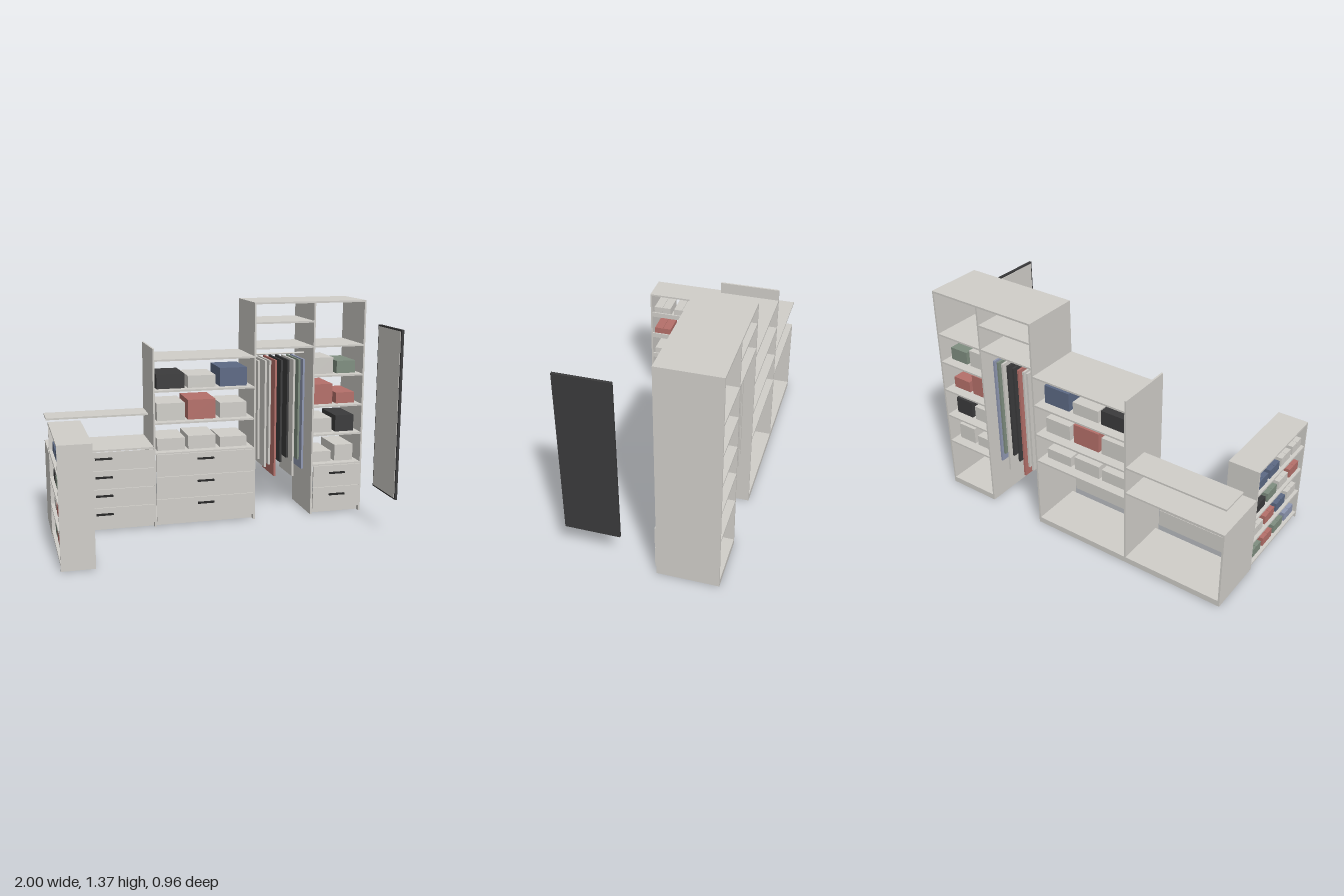
import * as THREE from 'three';

const mat = (name, color) => {
  const m = new THREE.MeshStandardMaterial({ color });
  m.name = name;
  return m;
};

export function createModel() {
  const root = new THREE.Group();
  root.name = 'walkInCloset';
  const C = {
    panel: mat('pale laminate', 0xd0cec9),
    dark: mat('charcoal', 0x3b3b3c),
    handle: mat('black metal', 0x262626),
    red: mat('brick red', 0xb5706a),
    blue: mat('slate blue', 0x5c6984),
    sky: mat('light blue', 0x9098b2),
    green: mat('sage green', 0x7f8e80),
  };

  // Box from its min/max extents on each axis
  const box = (parent, name, material, x0, x1, y0, y1, z0, z1) => {
    const m = new THREE.Mesh(new THREE.BoxGeometry(x1 - x0, y1 - y0, z1 - z0), material);
    m.position.set((x0 + x1) / 2, (y0 + y1) / 2, (z0 + z1) / 2);
    m.name = name;
    parent.add(m);
    return m;
  };
  const group = (name) => {
    const g = new THREE.Group();
    g.name = name;
    root.add(g);
    return g;
  };

  const T = 0.011, BACK = -0.48, FRONT = -0.124, TOE = 0.037;
  const upright = (g, x, h, name = 'sidePanel') => box(g, name, C.panel, x, x + T, 0, h, BACK, FRONT);
  const shelf = (g, x0, x1, y, name = 'shelf', z1 = FRONT) =>
    box(g, name, C.panel, x0, x1, y - T, y, BACK, z1);

  // Recessed plinth and a stack of equal drawer fronts with bar handles
  const drawers = (g, x0, x1, top, count) => {
    box(g, 'plinth', C.panel, x0, x1, 0, TOE, BACK, FRONT - 0.035);
    const h = (top - TOE) / count, cx = (x0 + x1) / 2;
    for (let i = 0; i < count; i++) {
      const y = TOE + i * h;
      box(g, 'drawerFront', C.panel, x0 + 0.002, x1 - 0.002, y + 0.0015, y + h - 0.0015, FRONT, FRONT + T);
      const hy = y + h * 0.65 + (count === 3 ? 0.012 : 0);
      box(g, 'drawerHandle', C.handle, cx - 0.052, cx + 0.052, hy - 0.005, hy + 0.005, FRONT + T, FRONT + 0.025);
    }
  };

  // Storage boxes on one shelf: [material, x0, x1, top]
  const storage = (g, y, list) => list.forEach(([m, x0, x1, top]) =>
    box(g, 'storageBox', m, x0, x1, y, top, -0.42, -0.18));

  // Low chest with a shallow shelf above
  const chest = group('lowChest');
  upright(chest, -1, 0.5);
  shelf(chest, -1, -0.372, 0.511, 'chestTop');
  shelf(chest, -1, -0.372, 0.684, 'wallShelf', -0.3);
  drawers(chest, -0.989, -0.372, 0.5, 4);

  // Middle shelving tower above drawers
  const mid = group('middleTower');
  upright(mid, -0.372, 1.11, 'tallSidePanel');
  for (const y of [0.47, 0.657, 0.855, 1.043]) shelf(mid, -0.361, 0.262, y);
  drawers(mid, -0.361, 0.262, 0.462, 3);
  const slots = [[-0.34, -0.165], [-0.145, 0.03], [0.058, 0.23]];
  const midRows = [
    [0.855, [C.dark, 0.945], [C.panel, 0.93], [C.blue, 0.97]],
    [0.657, [C.panel, 0.765], [C.red, 0.78], [C.panel, 0.752]],
    [0.47, [C.panel, 0.545], [C.panel, 0.553], [C.panel, 0.535]],
  ];
  midRows.forEach(([y, ...r]) => storage(mid, y, r.map(([m, t], i) => [m, ...slots[i], t])));

  // Wardrobe carcass: hanging bay and shelf column
  const robe = group('wardrobe');
  upright(robe, 0.262, 1.36);
  upright(robe, 0.645, 1.36, 'divider');
  upright(robe, 0.979, 1.36);
  shelf(robe, 0.262, 0.99, 1.37, 'wardrobeTop');
  for (const y of [1.25, 1.094]) shelf(robe, 0.273, 0.645, y);
  for (const y of [1.094, 0.906, 0.711, 0.526, 0.331]) shelf(robe, 0.656, 0.979, y);
  drawers(robe, 0.656, 0.979, 0.322, 2);
  const cols = [[0.675, 0.8], [0.825, 0.95]];
  const robeRows = [
    [0.906, [C.panel, 1.01], [C.green, 0.985]],
    [0.711, [C.red, 0.84], [C.red, 0.781]],
    [0.526, [C.panel, 0.618], [C.dark, 0.632]],
    [0.331, [C.panel, 0.4], [C.panel, 0.437]],
  ];
  robeRows.forEach(([y, ...r]) => storage(robe, y, r.map(([m, t], i) => [m, ...cols[i], t])));

  // Hanging rail and garments
  const rail = new THREE.Mesh(new THREE.CylinderGeometry(0.006, 0.006, 0.372, 12), C.panel);
  rail.rotation.z = Math.PI / 2;
  rail.position.set(0.459, 1.03, -0.3);
  rail.name = 'hangingRail';
  robe.add(rail);
  const garments = [
    [0.308, 0.378, C.panel], [0.352, 0.323, C.panel], [0.38, 0.337, C.panel],
    [0.418, 0.258, C.red], [0.456, 0.348, C.dark], [0.499, 0.374, C.dark],
    [0.539, 0.25, C.panel], [0.573, 0.358, C.green], [0.602, 0.294, C.sky],
  ];
  for (const [x, y, m] of garments) box(robe, 'garment', m, x - 0.0065, x + 0.0065, y, 1.005, -0.425, -0.175);

  // Shoe rack, open on both long sides, with lipped shelves
  const rack = group('shoeRack');
  const X0 = -1, X1 = -0.81, Z0 = -0.123, Z1 = 0.478;
  box(rack, 'endPanel', C.panel, X0, X1, 0, 0.7, Z0, Z0 + T);
  box(rack, 'endPanel', C.panel, X0, X1, 0, 0.7, Z1 - T, Z1);
  box(rack, 'rackTop', C.panel, X0, X1, 0.689, 0.7, Z0 + T, Z1 - T);
  const shoeRows = [
    [C.sky, C.green, C.red, C.green],
    [C.panel, C.blue, C.red, C.panel],
    [C.red, C.panel, C.green, C.dark],
    [C.panel, C.panel, C.blue, C.blue],
  ];
  shoeRows.forEach((row, i) => {
    const y = 0.029 + i * 0.1655;
    box(rack, 'shoeShelf', C.panel, X0, X1 - 0.01, y, y + T, Z0 + T, Z1 - T);
    box(rack, 'shelfLip', C.panel, X1 - 0.01, X1, y, y + 0.033, Z0 + T, Z1 - T);
    row.forEach((m, j) => {
      const zc = 0.399 - j * 0.1403;
      for (const s of [-1, 1]) {
        const z = zc + s * 0.029;
        box(rack, 'shoe', m, -0.98, -0.83, y + T, y + 0.068, z - 0.028, z + 0.028);
      }
    });
  });

  // Free-standing mirror facing the middle of the room
  const mirror = group('mirror');
  box(mirror, 'mirrorFrame', C.dark, 0.985, 1, 0.225, 1.24, 0.077, 0.395);
  box(mirror, 'mirrorGlass', C.panel, 0.982, 0.985, 0.235, 1.23, 0.087, 0.385);

  return root;
}
